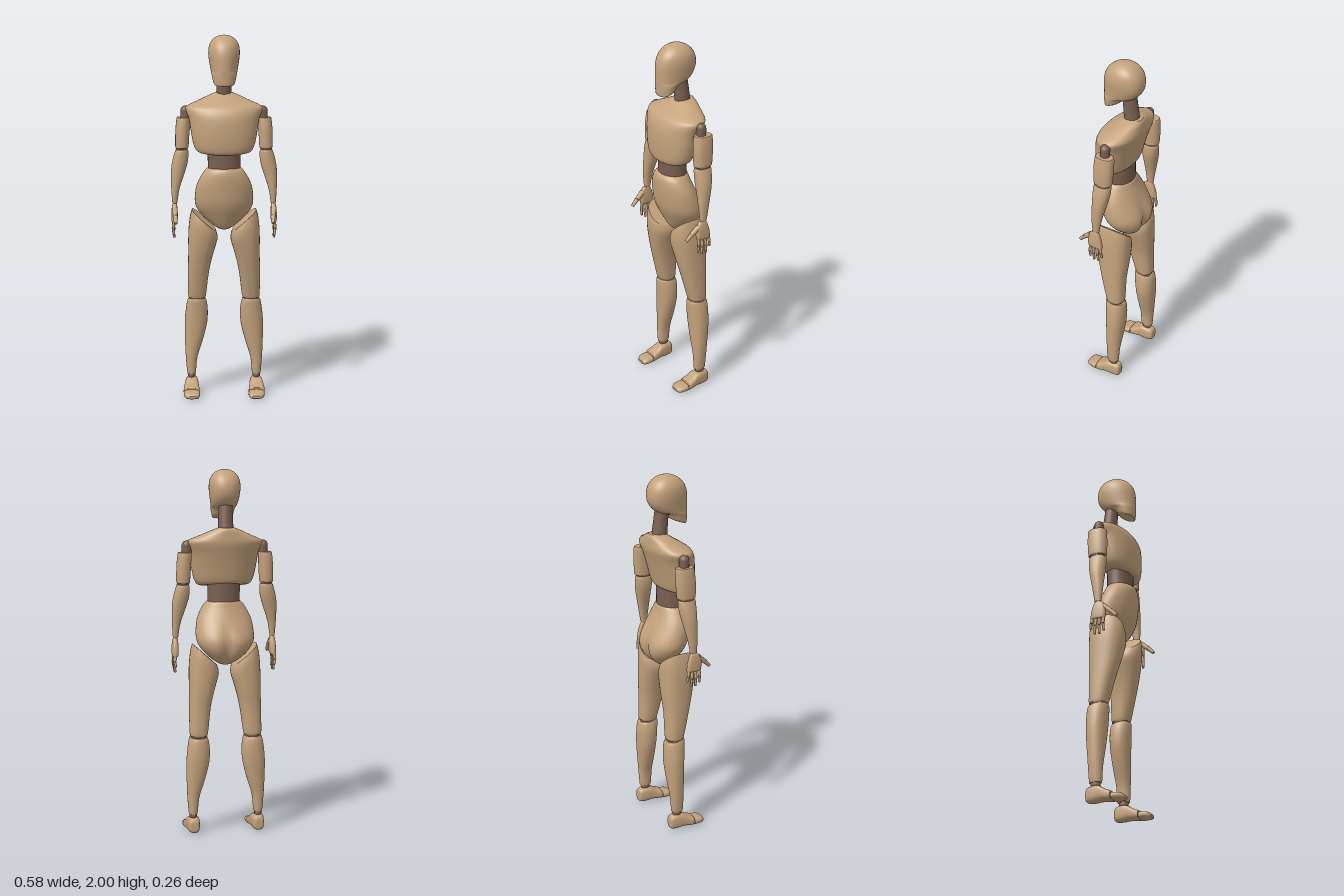
import * as THREE from 'three';

const wood = new THREE.MeshStandardMaterial({ color: 0xc4a27c });
wood.name = 'tan wood';
const joint = new THREE.MeshStandardMaterial({ color: 0x7a5f50 });
joint.name = 'dark joint';

// Smooth closed loft. Section: [y, x0, x1, z0, z1, tiltX, tiltZ, cleft], bottom to top.
// side = -1 mirrors the section to the right half of the body.
function loft(sections, { side = 1, power = 2, n = 28, steps = 3, taper = 0 } = {}) {
  const rows = [];
  const get = (i, k) => sections[Math.min(Math.max(i, 0), sections.length - 1)][k] || 0;
  for (let i = 0; i < sections.length - 1; i++) {
    for (let s = 0; s < steps || (i === sections.length - 2 && s === steps); s++) {
      const t = s / steps;
      rows.push([0, 1, 2, 3, 4, 5, 6, 7].map((k) => {
        const [a, b, c, d] = [get(i - 1, k), get(i, k), get(i + 1, k), get(i + 2, k)];
        return b + 0.5 * t * (c - a + t * (2 * a - 5 * b + 4 * c - d + t * (3 * (b - c) + d - a)));
      }));
    }
  }
  const pos = [], idx = [];
  const shape = (v) => Math.sign(v) * Math.abs(v) ** (2 / power);
  const ring = ([y, x0, x1, z0, z1, tx, tz, cleft]) => {
    for (let j = 0; j < n; j++) {
      const a = (j / n) * Math.PI * 2, c = shape(Math.cos(a)), s = shape(Math.sin(a));
      const x = side * (x0 + x1) / 2 + (x1 - x0) / 2 * c * (1 - taper * Math.max(0, s));
      const dent = s < 0 ? cleft * Math.exp(-((x / 0.03) ** 2)) : 0;
      pos.push(x, y + tx * side * c + tz * s, (z0 + z1) / 2 + (z1 - z0) / 2 * s + dent);
    }
  };
  rows.forEach(ring);
  for (let i = 0; i < rows.length - 1; i++) {
    for (let j = 0; j < n; j++) {
      const k = (j + 1) % n, a = i * n + j, b = i * n + k, c = b + n, d = a + n;
      idx.push(a, d, c, a, c, b);
    }
  }
  // flat end caps with their own vertices
  for (const [row, top] of [[rows[0], false], [rows[rows.length - 1], true]]) {
    const start = pos.length / 3;
    ring(row);
    pos.push(side * (row[1] + row[2]) / 2, row[0], (row[3] + row[4]) / 2);
    for (let j = 0; j < n; j++) {
      const p = start + j, q = start + (j + 1) % n;
      idx.push(start + n, top ? q : p, top ? p : q);
    }
  }
  const g = new THREE.BufferGeometry();
  g.setAttribute('position', new THREE.Float32BufferAttribute(pos, 3));
  g.setIndex(idx);
  g.computeVertexNormals();
  return g;
}

function add(parent, name, geometry, material = wood) {
  const mesh = new THREE.Mesh(geometry, material);
  mesh.name = name;
  parent.add(mesh);
  return mesh;
}

// Tapered rod from a to b
function rod(parent, name, a, b, ra, rb, material = wood, sides = 8) {
  const p = new THREE.Vector3(...a), q = new THREE.Vector3(...b);
  const mesh = add(parent, name, new THREE.CylinderGeometry(rb, ra, p.distanceTo(q), sides), material);
  mesh.position.copy(p).add(q).multiplyScalar(0.5);
  mesh.quaternion.setFromUnitVectors(new THREE.Vector3(0, 1, 0), q.sub(p).normalize());
  return mesh;
}

function ball(parent, name, [x, y, z], [rx, ry, rz]) {
  const mesh = add(parent, name, new THREE.SphereGeometry(1, 20, 14), joint);
  mesh.position.set(x, y, z);
  mesh.scale.set(rx, ry, rz);
}

function buildArm(side) {
  const arm = new THREE.Group();
  arm.name = side > 0 ? 'leftArm' : 'rightArm';
  const shoulder = add(arm, 'shoulderJoint', new THREE.CapsuleGeometry(0.027, 0.09, 6, 16), joint);
  shoulder.position.set(side * 0.21, 1.548, -0.013);
  add(arm, 'upperArm', loft([
    [1.39, 0.196, 0.262, -0.06, 0.038], [1.4, 0.193, 0.266, -0.064, 0.041],
    [1.48, 0.188, 0.265, -0.07, 0.042], [1.545, 0.184, 0.259, -0.07, 0.036],
    [1.556, 0.188, 0.255, -0.066, 0.032]], { side, power: 2.3 }));
  ball(arm, 'elbowJoint', [side * 0.231, 1.386, -0.012], [0.032, 0.03, 0.042]);
  add(arm, 'forearm', loft([
    [1.09, 0.256, 0.284, -0.008, 0.03], [1.17, 0.243, 0.289, -0.022, 0.036],
    [1.26, 0.213, 0.29, -0.042, 0.038], [1.32, 0.197, 0.282, -0.054, 0.04],
    [1.37, 0.195, 0.268, -0.058, 0.04], [1.381, 0.2, 0.263, -0.053, 0.035]], { side, power: 2.2 }));
  ball(arm, 'wristJoint', [side * 0.27, 1.09, 0.011], [0.011, 0.018, 0.015]);
  add(arm, 'palm', loft([
    [0.985, 0.262, 0.284, -0.027, 0.05], [0.995, 0.257, 0.289, -0.029, 0.056],
    [1.04, 0.255, 0.289, -0.022, 0.056], [1.075, 0.257, 0.285, -0.01, 0.045],
    [1.088, 0.26, 0.28, -0.003, 0.03]], { side, power: 3, n: 16 }));
  // four fingers, two segments each
  [[0.044, 0.047, 0.913], [0.023, 0.022, 0.897], [0.002, -0.005, 0.899], [-0.018, -0.029, 0.93]].forEach(([z0, z1, tip]) => {
    const mid = (0.99 + tip) / 2, zm = (z0 + z1) / 2;
    rod(arm, 'finger', [side * 0.274, 0.995, z0], [side * 0.279, mid + 0.002, zm], 0.0095, 0.0085);
    rod(arm, 'fingertip', [side * 0.279, mid - 0.001, zm], [side * 0.274, tip, z1], 0.0085, 0.006);
  });
  rod(arm, 'thumbBase', [side * 0.27, 1.06, 0.042], [side * 0.265, 1.025, 0.082], 0.016, 0.013);
  rod(arm, 'thumbTip', [side * 0.265, 1.025, 0.083], [side * 0.264, 0.992, 0.116], 0.013, 0.009);
  return arm;
}

function buildLeg(side) {
  const leg = new THREE.Group();
  leg.name = side > 0 ? 'leftLeg' : 'rightLeg';
  // slanted upper rim meets the pelvis
  add(leg, 'thigh', loft([
    [0.552, 0.107, 0.194, -0.08, 0.01], [0.562, 0.1, 0.2, -0.086, 0.017],
    [0.7, 0.083, 0.2, -0.088, 0.052], [0.8, 0.06, 0.198, -0.096, 0.077],
    [0.9, 0.037, 0.197, -0.1, 0.097, 0.02], [0.96, 0.038, 0.189, -0.1, 0.1, 0.045],
    [0.995, 0.046, 0.177, -0.094, 0.094, 0.058]], { side, power: 2.4 }));
  ball(leg, 'kneeJoint', [side * 0.15, 0.548, -0.036], [0.044, 0.035, 0.044]);
  add(leg, 'shin', loft([
    [0.105, 0.162, 0.204, -0.066, -0.004], [0.115, 0.158, 0.208, -0.07, 0.0],
    [0.2, 0.149, 0.215, -0.076, 0.003], [0.3, 0.118, 0.219, -0.087, 0.008],
    [0.4, 0.094, 0.22, -0.096, 0.013], [0.48, 0.091, 0.213, -0.097, 0.018],
    [0.53, 0.099, 0.204, -0.093, 0.021, 0, 0.005], [0.541, 0.105, 0.198, -0.086, 0.015, 0, 0.005]],
  { side, power: 2.2 }));
  ball(leg, 'ankleJoint', [side * 0.183, 0.095, -0.035], [0.021, 0.028, 0.027]);
  // foot pieces are lofted heel to toe, then laid down
  const foot = [
    [-0.084, 0.165, 0.201, -0.062, -0.016], [-0.076, 0.154, 0.21, -0.08, -0.004],
    [-0.04, 0.147, 0.216, -0.089, 0], [-0.005, 0.144, 0.22, -0.084, -0.004],
    [0.025, 0.14, 0.225, -0.064, -0.003], [0.056, 0.137, 0.227, -0.051, 0], [0.061, 0.142, 0.222, -0.046, -0.004]];
  add(leg, 'foot', loft(foot, { side, power: 3 }).rotateX(Math.PI / 2));
  const toes = [
    [0.064, 0.141, 0.223, -0.036, -0.003], [0.069, 0.137, 0.226, -0.039, 0],
    [0.1, 0.136, 0.224, -0.036, 0], [0.12, 0.142, 0.215, -0.03, 0], [0.131, 0.155, 0.2, -0.021, -0.005]];
  add(leg, 'toes', loft(toes, { side, power: 3 }).rotateX(Math.PI / 2));
  rod(leg, 'toeJoint', [side * 0.15, 0.02, 0.063], [side * 0.214, 0.02, 0.063], 0.014, 0.014, joint, 12);
  return leg;
}

export function createModel() {
  const model = new THREE.Group();
  model.name = 'mannequin';

  add(model, 'head', loft([
    [1.737, -0.05, 0.05, 0.06, 0.11, 0, -0.006], [1.75, -0.058, 0.058, 0.025, 0.115, 0, -0.008],
    [1.79, -0.067, 0.067, 0.002, 0.117], [1.808, -0.071, 0.071, -0.06, 0.118],
    [1.85, -0.079, 0.079, -0.098, 0.118], [1.9, -0.085, 0.085, -0.107, 0.115],
    [1.945, -0.08, 0.08, -0.096, 0.1], [1.978, -0.06, 0.06, -0.068, 0.069],
    [1.995, -0.032, 0.032, -0.035, 0.036], [2.0, -0.006, 0.006, -0.006, 0.006]],
  { power: 2.3, taper: 0.12, n: 36 }));
  rod(model, 'neck', [0, 1.67, -0.042], [0, 1.85, -0.022], 0.042, 0.036, joint, 24);

  add(model, 'chest', loft([
    [1.372, -0.125, 0.125, -0.035, 0.1, 0, -0.012], [1.38, -0.148, 0.148, -0.05, 0.118, 0, -0.012],
    [1.41, -0.165, 0.165, -0.06, 0.127, 0, -0.008], [1.47, -0.178, 0.178, -0.073, 0.131],
    [1.55, -0.19, 0.19, -0.095, 0.127], [1.595, -0.207, 0.207, -0.108, 0.112],
    [1.62, -0.202, 0.202, -0.111, 0.092], [1.65, -0.135, 0.135, -0.11, 0.045],
    [1.675, -0.08, 0.08, -0.108, 0.008], [1.69, -0.042, 0.042, -0.1, -0.01]],
  { power: 2.1, n: 40 }));
  add(model, 'waist', loft([
    [1.24, -0.09, 0.09, -0.045, 0.095], [1.32, -0.089, 0.089, -0.045, 0.095],
    [1.4, -0.092, 0.092, -0.045, 0.098]], {}), joint);
  add(model, 'pelvis', loft([
    [0.942, -0.03, 0.03, -0.05, 0.025], [0.965, -0.067, 0.067, -0.095, 0.045, 0, 0, 0.02],
    [1.01, -0.118, 0.118, -0.13, 0.068, 0, 0, 0.03], [1.06, -0.153, 0.153, -0.14, 0.092, 0, 0, 0.028],
    [1.11, -0.161, 0.161, -0.126, 0.107, 0, 0, 0.016], [1.19, -0.15, 0.15, -0.084, 0.117],
    [1.25, -0.121, 0.121, -0.06, 0.12], [1.278, -0.1, 0.1, -0.052, 0.112],
    [1.285, -0.091, 0.091, -0.046, 0.1]], { n: 40 }));

  for (const side of [1, -1]) model.add(buildArm(side), buildLeg(side));
  return model;
}
